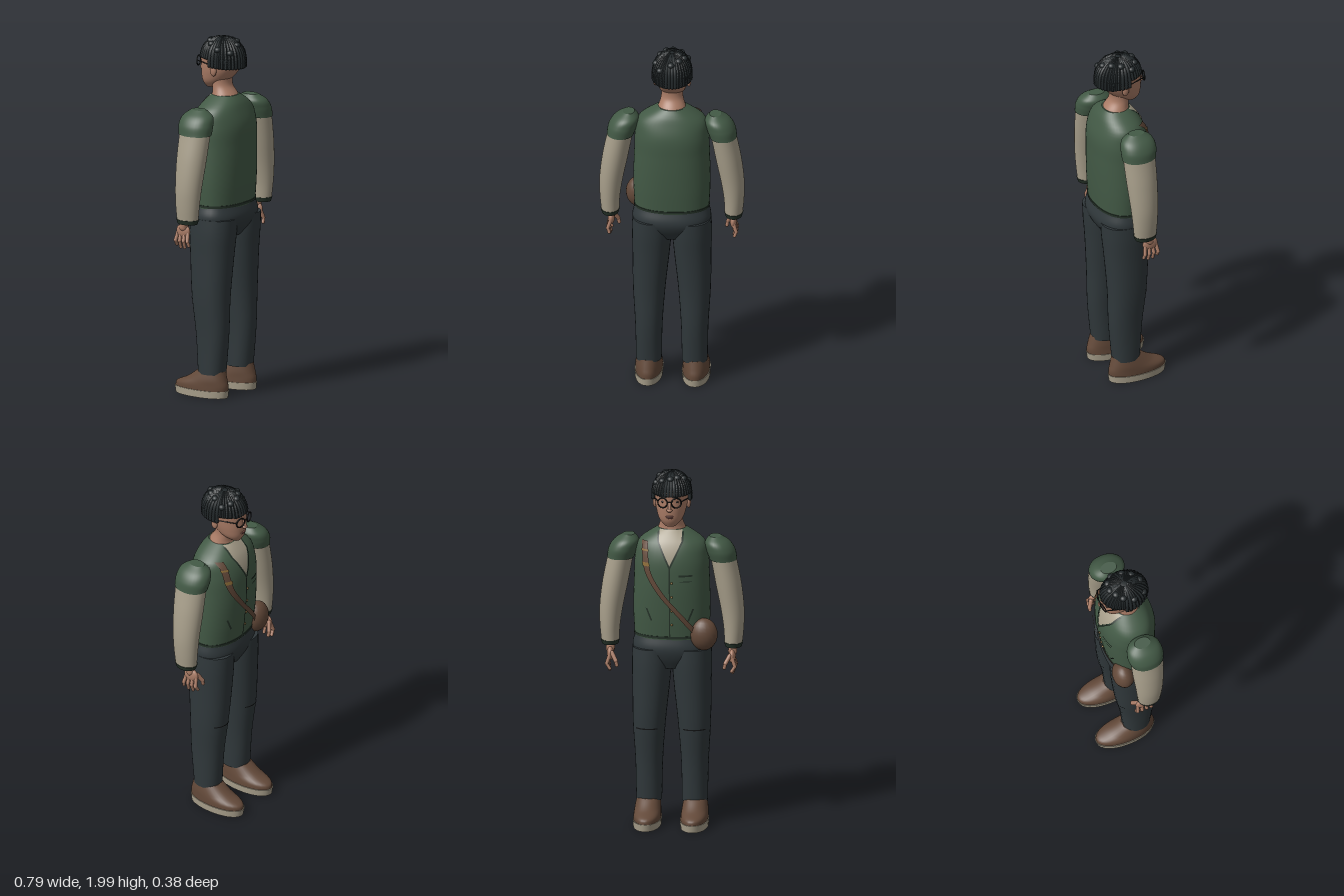
import * as THREE from 'three';
import { mergeGeometries } from 'three/addons/utils/BufferGeometryUtils.js';

const mat = (name, color, side = THREE.FrontSide) => {
  const m = new THREE.MeshStandardMaterial({ color, side });
  m.name = name;
  return m;
};
const M = {
  green: mat('vest green', 0x435a46), hem: mat('dark green', 0x263329),
  cream: mat('cream', 0xa89f8b, THREE.DoubleSide), trousers: mat('slate trousers', 0x30383b),
  skin: mat('skin', 0xaa7c66), hair: mat('hair', 0x23292b),
  brown: mat('brown leather', 0x634939, THREE.DoubleSide), black: mat('black', 0x121314),
  gold: mat('gold', 0x8c6c38), lips: mat('lips', 0x85544b),
};

// Smooth cross-section from rows [y, xMin, xMax, zFront, zBack], bottom to top
function sampler(rows) {
  const f = new THREE.CubicInterpolant(rows.map(r => r[0]), rows.flatMap(r => r.slice(1)), 4, new Float32Array(4));
  return y => {
    const [x0, x1, z0, z1] = f.evaluate(y);
    return { cx: (x0 + x1) / 2, cz: (z0 + z1) / 2, rx: (x1 - x0) / 2, rz: (z1 - z0) / 2 };
  };
}

function gridGeometry(pos, cols, rows, wrap) {
  const idx = [];
  for (let j = 0; j < rows - 1; j++) for (let i = 0; i < (wrap ? cols : cols - 1); i++) {
    const a = j * cols + i, b = j * cols + (i + 1) % cols;
    idx.push(a, a + cols, b, b, a + cols, b + cols);
  }
  const g = new THREE.BufferGeometry();
  g.setAttribute('position', new THREE.Float32BufferAttribute(pos, 3));
  g.setIndex(idx);
  return g;
}

// Closed skin over superellipse cross-sections
function loft(rows, n = 2, steps = 24, seg = 32) {
  const at = sampler(rows), pos = [], y0 = rows[0][0], y1 = rows.at(-1)[0];
  const bend = v => Math.sign(v) * Math.abs(v) ** (2 / n);
  for (let j = 0; j <= steps; j++) {
    const y = y0 + (y1 - y0) * j / steps, s = at(y);
    for (let i = 0; i < seg; i++) {
      const a = i / seg * Math.PI * 2;
      pos.push(s.cx + s.rx * bend(Math.cos(a)), y, s.cz + s.rz * bend(Math.sin(a)));
    }
  }
  const g = gridGeometry(pos, seg, steps + 1, true);
  const idx = [...g.index.array];
  [0, steps].forEach(j => { // flat end caps with their own corners
    const base = pos.length / 3, y = j ? y1 : y0, s = at(y);
    pos.push(...pos.slice(j * seg * 3, (j + 1) * seg * 3), s.cx, y, s.cz);
    for (let i = 0; i < seg; i++) {
      const a = base + i, b = base + (i + 1) % seg;
      idx.push(base + seg, ...(j ? [b, a] : [a, b]));
    }
  });
  g.setAttribute('position', new THREE.Float32BufferAttribute(pos, 3));
  g.setIndex(idx);
  g.computeVertexNormals();
  return g;
}

// Thin patch lying on the front of a loft, between two edges given by y
function patch(rows, n, y0, y1, left, right, off = 0.004) {
  const at = sampler(rows), pos = [], cols = 7, steps = 20;
  for (let j = 0; j <= steps; j++) {
    const y = y0 + (y1 - y0) * j / steps, s = at(y);
    for (let i = 0; i < cols; i++) {
      const x = THREE.MathUtils.lerp(left(y), right(y), i / (cols - 1));
      const u = Math.min(1, Math.abs((x - s.cx) / s.rx));
      pos.push(x, y, s.cz - s.rz * (1 - u ** n) ** (1 / n) - off);
    }
  }
  const g = gridGeometry(pos, cols, steps + 1, false);
  g.computeVertexNormals();
  return g;
}

const mirror = (rows, s) => s > 0 ? rows : rows.map(([y, a, b, c, d]) => [y, -b, -a, c, d]);
const V = (x, y, z) => new THREE.Vector3(x, y, z);

// Rounded rod between two points
function rod(a, b, r) {
  const d = b.clone().sub(a);
  const g = new THREE.CapsuleGeometry(r, d.length(), 4, 10);
  g.applyQuaternion(new THREE.Quaternion().setFromUnitVectors(V(0, 1, 0), d.normalize()));
  return g.translate(...a.clone().add(b).multiplyScalar(0.5).toArray());
}
const ball = (x, y, z, rx, ry = rx, rz = rx) => new THREE.SphereGeometry(1, 20, 14).scale(rx, ry, rz).translate(x, y, z);

const TORSO = [[1.06, -.203, .203, -.085, .172], [1.2, -.21, .21, -.102, .182], [1.4, -.206, .206, -.115, .188],
  [1.52, -.2, .2, -.108, .185], [1.6, -.178, .178, -.08, .16], [1.64, -.125, .125, -.052, .142], [1.67, -.075, .075, -.025, .118]];
const LEG = [[.13, .055, .195, -.03, .125], [.35, .05, .2, -.045, .145], [.56, .035, .212, -.07, .15],
  [.8, .01, .216, -.085, .165], [.92, 0, .218, -.09, .176], [1, 0, .215, -.09, .18]];
const HIPS = [[.89, -.08, .08, -.05, .13], [.95, -.19, .19, -.08, .17], [1, -.214, .214, -.092, .186], [1.075, -.2, .2, -.08, .168]];
const SLEEVE = [[1.02, .288, .385, -.026, .1], [1.1, .284, .393, -.032, .108], [1.2, .27, .396, -.037, .117],
  [1.35, .24, .381, -.044, .13], [1.5, .212, .352, -.046, .138]];
const SHOULDER = [[1.495, .206, .355, -.05, .142], [1.55, .188, .344, -.058, .142], [1.595, .182, .312, -.044, .126], [1.625, .205, .268, -.005, .085]];
const CUFF = [[1.005, .292, .382, -.022, .096], [1.03, .285, .389, -.03, .104]];
const SOLE = [[0, .053, .205, -.185, .148], [.04, .05, .207, -.192, .153]];
const UPPER = [[.038, .054, .203, -.188, .15], [.065, .055, .203, -.178, .15], [.095, .058, .2, -.11, .142], [.145, .065, .19, -.035, .128]];
const HEAD = [[1.7, -.03, .03, -.076, -.01], [1.73, -.06, .06, -.092, .04], [1.78, -.08, .08, -.1, .1],
  [1.84, -.09, .09, -.1, .14], [1.9, -.09, .09, -.095, .135], [1.95, -.06, .06, -.05, .1]];
const NECK = [[1.62, -.1, .1, -.05, .14], [1.67, -.075, .075, -.026, .112], [1.72, -.06, .06, -.03, .08], [1.81, -.066, .066, -.04, .085]];

export function createModel() {
  const root = new THREE.Group();
  const add = (name, material, ...geos) => {
    geos.forEach(g => g.deleteAttribute('uv')); // so that all kinds can be merged
    const m = new THREE.Mesh(geos.length > 1 ? mergeGeometries(geos) : geos[0], material);
    m.name = name;
    root.add(m);
  };

  // Clothing on the body
  add('vest', M.green, loft(TORSO, 2.2, 36, 48));
  add('vestHem', M.hem, loft([[1.066, -.206, .206, -.089, .176], [1.08, -.207, .207, -.09, .177]], 2.2, 2, 48));
  add('hips', M.trousers, loft(HIPS, 2.3, 16, 40));
  const neckline = y => 0.062 * Math.min(1, (y - 1.485) / 0.13);
  add('shirtFront', M.cream, patch(TORSO, 2.2, 1.485, 1.668, y => -neckline(y), neckline));
  for (const s of [1, -1]) {
    const a = y => s * neckline(y), b = y => s * (neckline(y) + .01);
    add('lapelTrim', M.hem, patch(TORSO, 2.2, 1.475, 1.66, s > 0 ? a : b, s > 0 ? b : a, .006));
    add('vestPocket', M.hem, patch(TORSO, 2.2, 1.17, 1.24, y => s * (.1 + (y - 1.17) * .4) - .005, y => s * (.1 + (y - 1.17) * .4) + .005));
  }
  add('breastPocket', M.hem, patch(TORSO, 2.2, 1.425, 1.435, () => -.125, () => -.05),
    patch(TORSO, 2.2, 1.395, 1.4, () => -.12, () => -.055));
  add('vestSeam', M.hem, patch(TORSO, 2.2, 1.08, 1.48, () => -.003, () => .003));
  const torsoAt = sampler(TORSO);
  add('vestButtons', M.gold, ...[1.15, 1.23, 1.31, 1.39].map(y => {
    const { cz, rz } = torsoAt(y);
    return ball(-.012, y, cz - rz - .002, .006);
  }));

  for (const s of [1, -1]) {
    const at = (x, y, z) => V(s * x, y, z);
    // Arms
    add('sleeve', M.cream, loft(mirror(SLEEVE, s)));
    add('shoulder', M.green, loft(mirror(SHOULDER, s), 2.1));
    add('cuff', M.hem, loft(mirror(CUFF, s), 2, 3));
    // Hands
    const fingers = [0, 1, 2, 3].map(i => {
      const z = .04 - i * .024, end = .862 + .012 * Math.abs(i - 1.6);
      return [rod(at(.335, .95, z * .9), at(.35, .905, z * 1.1), .0105), rod(at(.35, .905, z * 1.1), at(.342 - i * .003, end, z * 1.2), .009)];
    }).flat();
    add('hand', M.skin, rod(at(.335, 1.03, .02), at(.334, .98, .01), .025), ball(s * .333, .957, .005, .019, .042, .045),
      ...fingers, rod(at(.322, .965, -.028), at(.3, .925, -.045), .012), rod(at(.3, .925, -.045), at(.294, .9, -.045), .01));
    // Legs and shoes
    const leg = mirror(LEG, s);
    add('trouserLeg', M.trousers, loft(leg, 2.2, 30));
    add('kneeCrease', M.black, patch(leg, 2.2, .545, .552, () => s * .13 - .06, () => s * .13 + .06));
    add('shoeSole', M.cream, loft(mirror(SOLE, s), 2.1, 4));
    add('shoeUpper', M.brown, loft(mirror(UPPER, s), 2.1));
    // Ears, eyes and glasses
    add('ear', M.skin, ball(s * .092, 1.812, .03, .012, .032, .02));
    add('eye', M.black, ball(s * .037, 1.842, -.086, .011, .006, .006));
    add('eyebrow', M.hair, rod(at(.02, 1.872, -.1), at(.055, 1.872, -.084), .004));
    add('lensFrame', M.black, new THREE.TorusGeometry(.027, .0035, 8, 28).rotateY(s * -.25).translate(s * .038, 1.842, -.108));
    add('glassesArm', M.black, rod(at(.064, 1.848, -.1), at(.096, 1.84, .02), .003));
  }
  add('glassesBridge', M.black, rod(V(-.011, 1.846, -.113), V(.011, 1.846, -.113), .003));

  // Head
  add('neck', M.skin, loft(NECK));
  add('head', M.skin, loft(HEAD, 2.1, 30, 40));
  add('nose', M.skin, rod(V(0, 1.84, -.098), V(0, 1.806, -.11), .009), ball(0, 1.8, -.108, .016, .011, .013));
  add('mouth', M.lips, ball(0, 1.762, -.097, .022, .005, .007), ball(0, 1.754, -.095, .018, .005, .007));

  // Braided hair radiating from the crown
  const strands = 38, braids = [];
  for (let k = 0; k < strands; k++) {
    const a = k / strands * Math.PI * 2, c = Math.cos(a), sn = Math.sin(a);
    const low = sn < -.2 ? 1.868 : 1.826 - .006 * sn;
    const pts = [8, 25, 45, 65, 85].map(d => {
      const t = d * Math.PI / 180;
      return V(.1 * Math.sin(t) * c, 1.875 + .105 * Math.cos(t), .03 + .125 * Math.sin(t) * sn);
    });
    pts.push(V(.102 * c, low, .03 + .127 * sn));
    const path = new THREE.CatmullRomCurve3(pts), n = 30;
    const g = new THREE.TubeGeometry(path, n, .011, 6), p = g.attributes.position;
    for (let j = 0; j <= n; j++) { // plaited bumps
      const o = path.getPointAt(j / n), f = (.88 + .22 * (j % 2)) * (j === n ? .1 : 1);
      for (let i = 0; i <= 6; i++) {
        const v = new THREE.Vector3().fromBufferAttribute(p, j * 7 + i).sub(o).multiplyScalar(f).add(o);
        p.setXYZ(j * 7 + i, v.x, v.y, v.z);
      }
    }
    g.computeVertexNormals();
    braids.push(g);
  }
  add('braids', M.hair, ...braids);
  add('hairCap', M.hair, new THREE.SphereGeometry(1, 32, 16, 0, Math.PI * 2, 0, Math.PI / 2).scale(.1, .107, .125).translate(0, 1.874, .03),
    loft([[1.825, -.093, .093, .02, .15], [1.88, -.099, .099, 0, .153]], 2, 4));
  const knots = [[-.035, -.03], [0, -.05], [.045, -.045], [.08, -.012], [.065, .045], [.04, .09], [0, .122], [-.06, .12], [-.085, .055], [-.066, 0]];
  add('hairKnots', M.hair, ...knots.map(([x, z]) => {
    const h = Math.sqrt(Math.max(0, 1 - (x / .1) ** 2 - ((z - .03) / .125) ** 2));
    return ball(x, 1.878 + .104 * h, z, .02, .017, .02);
  }));

  // Shoulder bag: strap across the chest, round pouch on the right hip
  const sx = new THREE.CubicInterpolant([1.1, 1.2, 1.33, 1.45, 1.6], [-.14, -.06, .05, .12, .14], 1, new Float32Array(1));
  const strapX = y => sx.evaluate(y)[0];
  add('bagStrap', M.brown, patch(TORSO, 2.2, 1.1, 1.61, y => strapX(y) - .017, y => strapX(y) + .017, .012));
  add('strapBuckle', M.gold, patch(TORSO, 2.2, 1.48, 1.5, y => strapX(y) - .02, y => strapX(y) + .02, .015),
    patch(TORSO, 2.2, 1.56, 1.57, y => strapX(y) - .02, y => strapX(y) + .02, .015));
  add('bag', M.brown, ball(-.182, 1.09, -.05, .076, .09, .06));
  return root;
}
